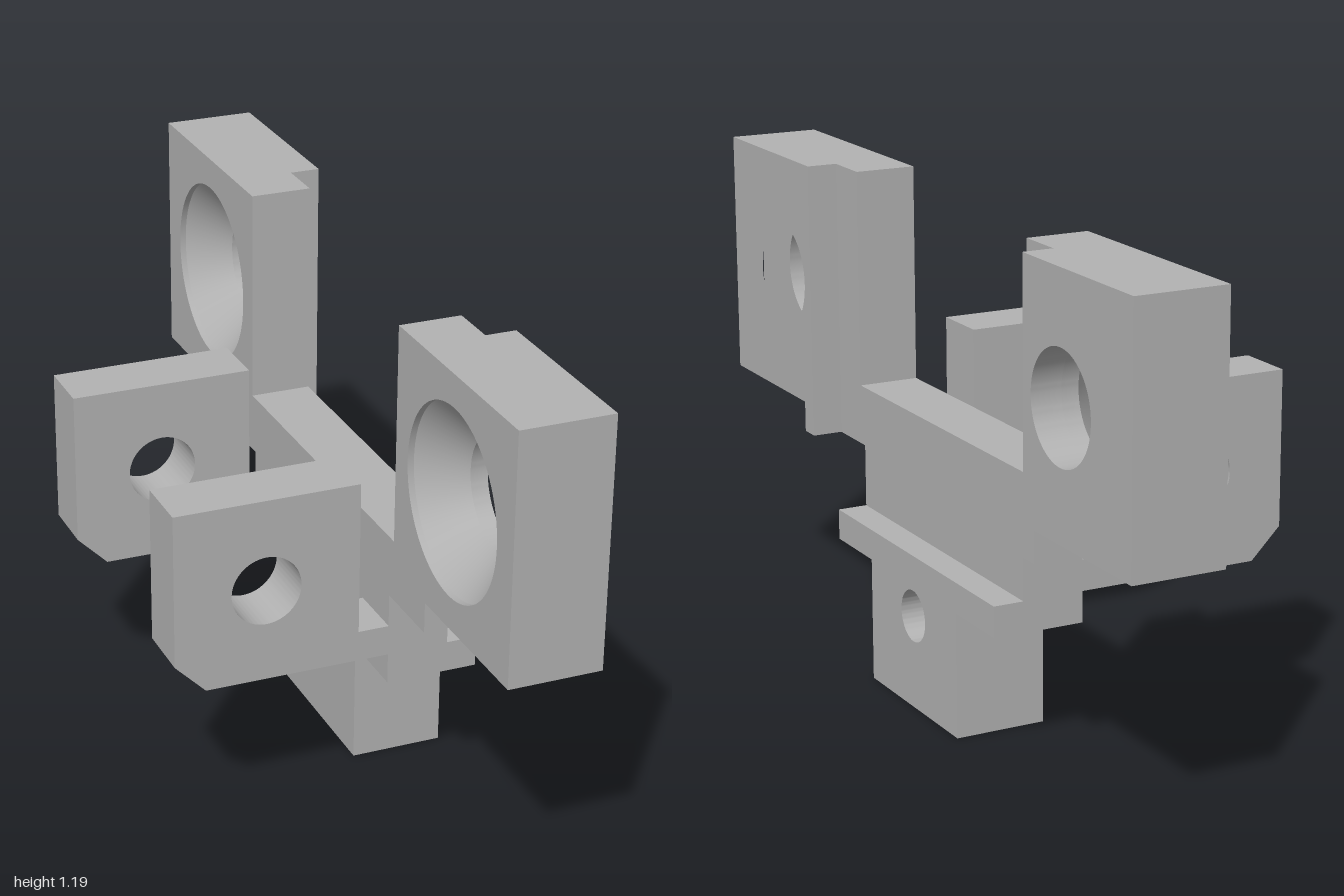
import * as THREE from 'three';
import { toCreasedNormals } from 'three/addons/utils/BufferGeometryUtils.js';

const X0 = 0.147, X1 = 0.254, X2 = 0.295, X3 = 0.368; // plate layers across x
const EAR_Z = 0.705, EAR_Y = 0.893, BORE = 0.128, SINK = 0.22;

function makeShape(points, holes = []) {
  const shape = new THREE.Shape(points.map(([a, b]) => new THREE.Vector2(a, b)));
  for (const [a, b, r] of holes) {
    shape.holes.push(new THREE.Path().absarc(a, b, r, 0, Math.PI * 2, true));
  }
  return shape;
}

function extrude(shape, depth) {
  const geometry = new THREE.ExtrudeGeometry(shape, { depth, bevelEnabled: false, curveSegments: 48 });
  return toCreasedNormals(geometry, 0.5);
}

export function createModel() {
  const model = new THREE.Group();
  const grey = new THREE.MeshStandardMaterial({ color: 0xb2b2b2 });
  const greyInside = grey.clone();
  greyInside.side = THREE.DoubleSide;

  function add(name, geometry, material = grey) {
    const mesh = new THREE.Mesh(geometry, material);
    mesh.name = name;
    model.add(mesh);
    return mesh;
  }

  // Slab drawn in the z-y plane and extruded along x
  function slab(name, points, holes, xa, xb) {
    const geometry = extrude(makeShape(points, holes), xb - xa);
    geometry.rotateY(Math.PI / 2).translate(xa, 0, 0);
    return add(name, geometry);
  }

  const mirror = (half) => [...half, ...half.map(([z, y]) => [-z, y]).reverse()];
  const earHoles = (r) => [[EAR_Z, EAR_Y, r], [-EAR_Z, EAR_Y, r]];
  const pinHole = [0, 0.225, 0.062];

  // Main plate: stem, crossbar and two raised ears
  const outline = mirror([
    [0.222, 0], [0.222, 0.298], [0.405, 0.298], [0.405, 0.523], [0.592, 0.523],
    [0.592, 0.597], [1, 0.597], [1, 1.188], [0.424, 1.188], [0.424, 0.668],
  ]);
  slab('innerPlate', outline, earHoles(SINK), X0, X1);
  slab('middlePlate', outline, [...earHoles(BORE), pinHole], X1, X2);

  // Raised pads on the outer face, leaving the slot and corner notches open
  const stemPad = mirror([[0.222, 0], [0.222, 0.298], [0.405, 0.298], [0.405, 0.372]]);
  slab('stemPad', stemPad, [pinHole], X2, X3);
  for (const s of [1, -1]) {
    const earPad = [
      [0.542, 0.523], [0.592, 0.523], [0.592, 0.597], [1, 0.597], [1, 1.188], [0.542, 1.188],
    ].map(([z, y]) => [s * z, y]);
    slab('earPad', earPad, [[s * EAR_Z, EAR_Y, BORE]], X2, X3);

    // Conical countersink behind each ear bore
    const cone = new THREE.LatheGeometry(
      [new THREE.Vector2(SINK, X0 + 0.015), new THREE.Vector2(BORE, X1)], 64);
    cone.rotateZ(-Math.PI / 2).translate(0, EAR_Y, s * EAR_Z);
    add('countersink', cone, greyInside);
  }

  // Two drilled lugs, each on a short neck
  const lug = makeShape([
    [-0.295, 0.372], [X0, 0.372], [X0, 0.445], [0.073, 0.445],
    [0.073, 0.815], [-0.368, 0.815], [-0.368, 0.445],
  ], [[-0.15, 0.594, 0.083]]);
  for (const z of [0.26, -0.406]) {
    add('lug', extrude(lug, 0.146)).position.z = z;
  }

  return model;
}
